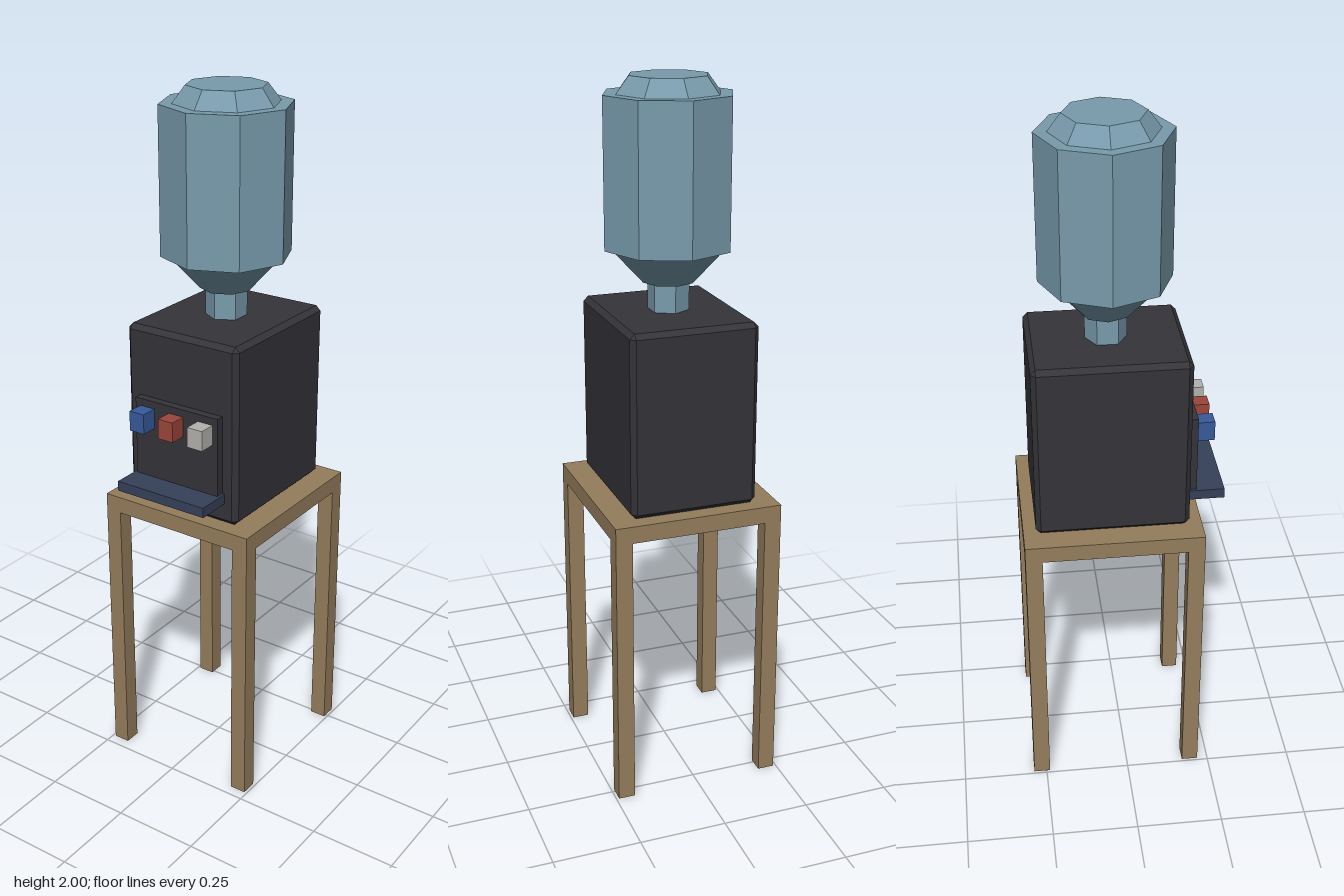
import * as THREE from 'three';
import { ConvexGeometry } from 'three/addons/geometries/ConvexGeometry.js';

const material = (color) => new THREE.MeshStandardMaterial({ color, flatShading: true });

function add(parent, name, geometry, mat) {
  const mesh = new THREE.Mesh(geometry, mat);
  mesh.name = name;
  parent.add(mesh);
  return mesh;
}

// Box given by its limits on each axis
function box(parent, name, mat, [x0, x1], [y0, y1], [z0, z1]) {
  const mesh = add(parent, name, new THREE.BoxGeometry(x1 - x0, y1 - y0, z1 - z0), mat);
  mesh.position.set((x0 + x1) / 2, (y0 + y1) / 2, (z0 + z1) / 2);
  return mesh;
}

// Box with a single flat chamfer on every edge
function chamferedBox(w, h, d, c) {
  const points = [];
  for (const sx of [-1, 1]) for (const sy of [-1, 1]) for (const sz of [-1, 1]) {
    for (let full = 0; full < 3; full++) {
      const inset = (axis) => (axis === full ? 0 : c);
      points.push(new THREE.Vector3(
        sx * (w / 2 - inset(0)), sy * (h / 2 - inset(1)), sz * (d / 2 - inset(2))));
    }
  }
  return new ConvexGeometry(points);
}

export function createModel() {
  const model = new THREE.Group();
  model.name = 'waterDispenser';

  const wood = material(0x957d5c);
  const plastic = material(0x343439);
  const water = material(0x799bad);

  // Wooden stand: top and four corner legs
  const stand = new THREE.Group();
  stand.name = 'stand';
  model.add(stand);
  box(stand, 'standTop', wood, [-0.242, 0.242], [0.8, 0.849], [-0.288, 0.219]);
  for (const x of [-0.242, 0.194]) for (const z of [-0.288, 0.171]) {
    box(stand, 'standLeg', wood, [x, x + 0.048], [0, 0.8], [z, z + 0.048]);
  }

  // Dispenser body, front panel and drip tray
  const dispenser = new THREE.Group();
  dispenser.name = 'dispenser';
  model.add(dispenser);
  add(dispenser, 'body', chamferedBox(0.364, 0.522, 0.435, 0.014), plastic)
    .position.set(0, 1.11, -0.035);
  box(dispenser, 'frontPanel', plastic, [-0.137, 0.137], [0.925, 1.171], [0.18, 0.206]);
  box(dispenser, 'dripTray', material(0x354059), [-0.145, 0.145], [0.913, 0.942], [0.18, 0.285]);

  // Three coloured taps
  [0x375a9b, 0x9b453b, 0xb4b2ae].forEach((color, i) => {
    const x = (i - 1) * 0.097;
    box(dispenser, 'tap', material(color), [x - 0.024, x + 0.024], [1.092, 1.15], [0.2, 0.255]);
  });

  // Upturned bottle, stacked from faceted rings
  const bottle = new THREE.Group();
  bottle.name = 'bottle';
  bottle.position.z = -0.035;
  model.add(bottle);
  const rings = [
    ['bottleNeck', 0.058, 0.058, 1.365, 1.45, 6],
    ['bottleShoulder', 0.16, 0.073, 1.45, 1.545, 8],
    ['bottleBody', 0.182, 0.182, 1.545, 1.953, 8],
    ['bottleBase', 0.11, 0.146, 1.953, 2, 8],
  ];
  for (const [name, top, bottom, y0, y1, sides] of rings) {
    add(bottle, name, new THREE.CylinderGeometry(top, bottom, y1 - y0, sides), water)
      .position.y = (y0 + y1) / 2;
  }

  return model;
}
